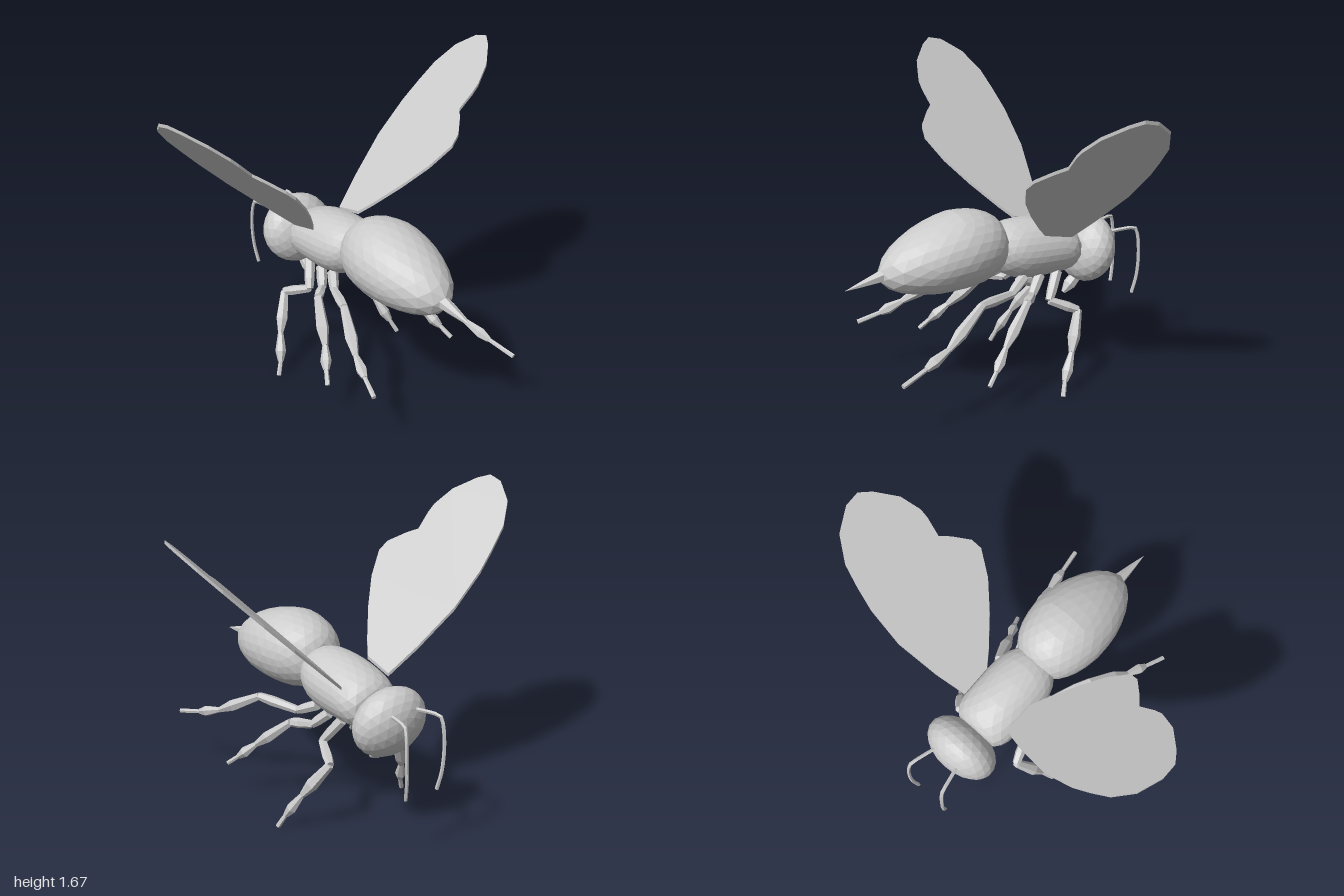
import * as THREE from 'three';

const material = new THREE.MeshStandardMaterial({ color: 0xcccccc, flatShading: true });
const thinMaterial = new THREE.MeshStandardMaterial({ color: 0xcccccc, flatShading: true, side: THREE.DoubleSide });
const V = (x, y, z) => new THREE.Vector3(x, y, z);

function part(name, geometry, mat = material) {
  const mesh = new THREE.Mesh(geometry, mat);
  mesh.name = name;
  return mesh;
}

// Faceted body section: a sphere refitted to stations [z, centreY, halfWidth, halfHeight]
function blob(name, stations) {
  const axis = new THREE.CatmullRomCurve3(stations.map(([z, y]) => V(0, y, z)));
  const radii = new THREE.CatmullRomCurve3(stations.map(([, , rx, ry]) => V(rx, ry, 0)));
  const geometry = new THREE.IcosahedronGeometry(1, 4);
  const pos = geometry.attributes.position;
  for (let i = 0; i < pos.count; i++) {
    const x = pos.getX(i), y = pos.getY(i), z = pos.getZ(i);
    const u = Math.acos(THREE.MathUtils.clamp(-z, -1, 1)) / Math.PI;
    const s = Math.hypot(x, y) || 1;
    const c = axis.getPoint(u), r = radii.getPoint(u);
    pos.setXYZ(i, (x / s) * r.x, c.y + (y / s) * r.y, c.z);
  }
  geometry.computeVertexNormals();
  return part(name, geometry);
}

// Six-sided limb from a to b that swells from r0 to rMid and narrows to r1
function limb(name, a, b, [r0, rMid, r1], sides = 6) {
  const dir = b.clone().sub(a), len = dir.length();
  const profile = [[0, 0], [r0, 0], [rMid, len * 0.65], [r1, len], [0, len]];
  const geometry = new THREE.LatheGeometry(profile.map(([r, y]) => new THREE.Vector2(r, y)), sides);
  const mesh = part(name, geometry);
  mesh.position.copy(a);
  mesh.quaternion.setFromUnitVectors(V(0, 1, 0), dir.normalize());
  return mesh;
}

const legPaths = {
  frontLeg: [[.10, .59, -.33], [.16, .46, -.245], [.22, .395, -.39], [.32, .21, -.285], [.37, .08, -.21], [.40, .01, -.18]],
  middleLeg: [[.10, .59, -.22], [.15, .51, -.14], [.23, .515, -.06], [.32, .34, .13], [.375, .25, .22], [.405, .195, .28]],
  hindLeg: [[.10, .60, -.12], [.15, .545, -.01], [.235, .565, .22], [.33, .42, .47], [.365, .365, .62], [.40, .325, .77]],
};
const rightFootShift = { frontLeg: -.04, middleLeg: -.04, hindLeg: -.15 };
const legSegments = [
  ['coxa', [.03, .028, .022]],
  ['femur', [.022, .028, .022]],
  ['tibia', [.022, .034, .016]],
  ['tarsus', [.015, .03, .016]],
  ['foot', [.012, .013, .013]],
];

function leg(name, side) {
  const group = new THREE.Group();
  group.name = (side > 0 ? 'left ' : 'right ') + name;
  const pts = legPaths[name].map(([x, y, z], i) =>
    V(side * x, y, z + (side < 0 ? rightFootShift[name] * i / 5 : 0)));
  legSegments.forEach(([label, radii], i) => group.add(limb(label, pts[i], pts[i + 1], radii)));
  return group;
}

// Wing outline as [x, z], laid on a tilted plane
const wingOutline = [
  [.15, -.39], [.30, -.44], [.50, -.487], [.67, -.485], [.77, -.465], [.86, -.44], [.95, -.37],
  [1, -.26], [1, -.18], [.96, -.12], [.87, -.03], [.78, .01], [.74, .012], [.66, 0], [.62, .05],
  [.55, .12], [.50, .132], [.40, .07], [.30, -.03], [.20, -.15], [.15, -.22],
];
function wing(side) {
  const shape = new THREE.Shape(wingOutline.map(([x, z]) => new THREE.Vector2(side * x, -z)));
  const geometry = new THREE.ExtrudeGeometry(shape, { depth: .018, bevelEnabled: false });
  geometry.rotateX(-Math.PI / 2);
  const pos = geometry.attributes.position;
  for (let i = 0; i < pos.count; i++) {
    pos.setY(i, pos.getY(i) + .739 + .958 * Math.abs(pos.getX(i)) + .241 * pos.getZ(i));
  }
  geometry.computeVertexNormals();
  return part(side > 0 ? 'left wing' : 'right wing', geometry, thinMaterial);
}

function antenna(side) {
  const path = new THREE.CatmullRomCurve3([
    V(.07, .735, -.67), V(.10, .745, -.79), V(.112, .742, -.84), V(.117, .70, -.856),
    V(.12, .58, -.866), V(.112, .45, -.862), V(.10, .35, -.842),
  ].map(p => p.setX(side * p.x)));
  return part(side > 0 ? 'left antenna' : 'right antenna', new THREE.TubeGeometry(path, 16, .01, 5), thinMaterial);
}

export function createModel() {
  const model = new THREE.Group();
  model.name = 'flying insect';

  model.add(blob('abdomen', [
    [-.05, .79, 0, 0], [-.03, .79, .10, .11], [.03, .80, .165, .16], [.12, .80, .205, .195], [.24, .80, .224, .205],
    [.38, .785, .213, .188], [.50, .77, .175, .155], [.62, .752, .11, .095], [.70, .74, 0, 0],
  ]));
  model.add(blob('thorax', [
    [-.50, .70, 0, 0], [-.48, .695, .12, .10], [-.42, .70, .165, .14], [-.32, .715, .176, .157], [-.20, .725, .178, .164],
    [-.10, .735, .17, .156], [-.02, .75, .14, .125], [.02, .76, .09, .08], [.03, .76, 0, 0],
  ]));

  // Head, tipped forward at the crown
  const head = part('head', new THREE.IcosahedronGeometry(1, 3));
  head.scale.set(.21, .192, .134);
  head.rotation.x = -.25;
  head.position.set(0, .65, -.585);
  model.add(head);

  model.add(limb('mouthpart', V(0, .52, -.56), V(0, .405, -.445), [.03, .036, .012]));
  model.add(limb('stinger', V(0, .745, .66), V(0, .708, .87), [.035, .014, .001]));

  for (const side of [1, -1]) {
    model.add(wing(side), antenna(side));
    for (const name of Object.keys(legPaths)) model.add(leg(name, side));
  }
  return model;
}
